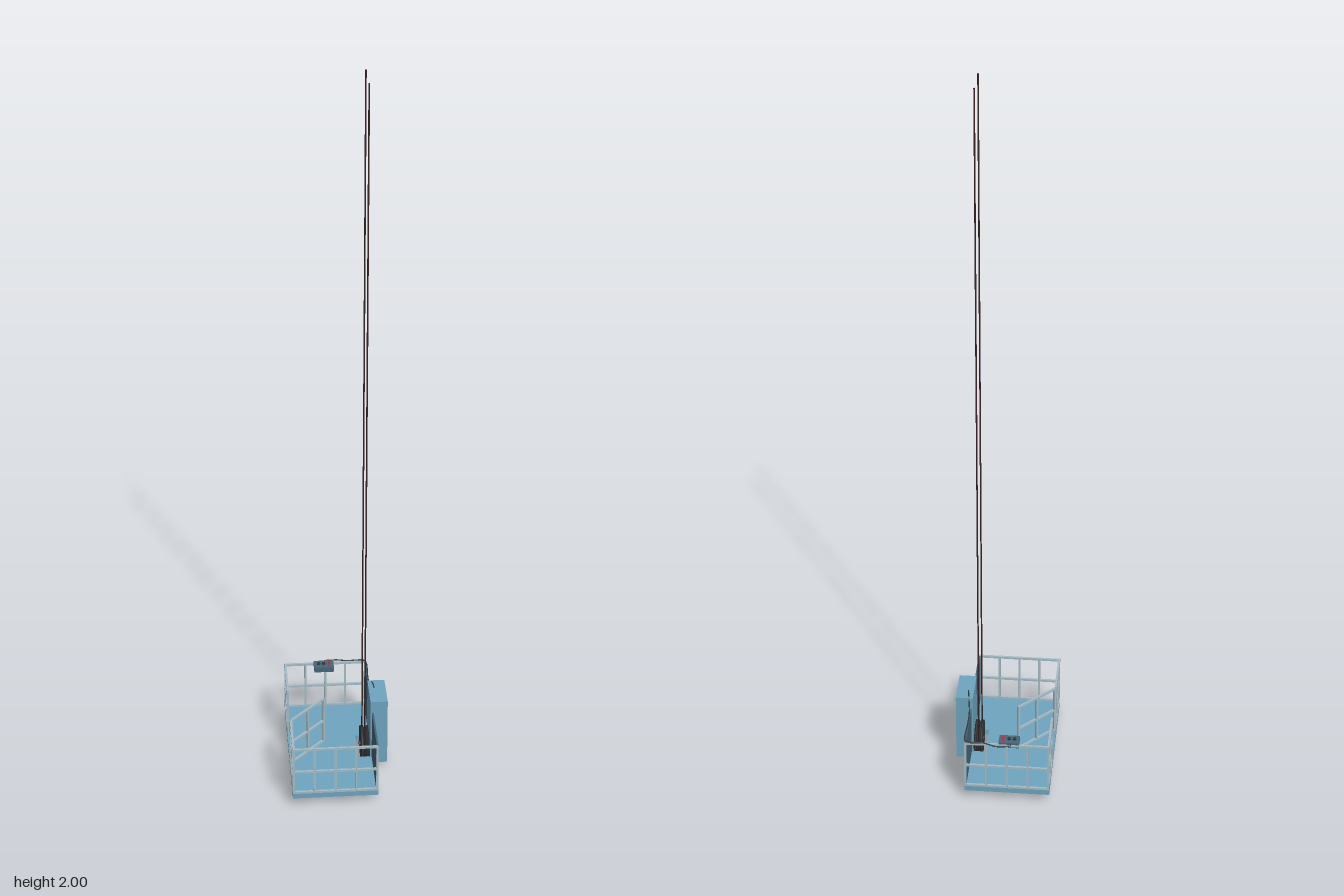
import * as THREE from 'three';

const mat = (color) => new THREE.MeshStandardMaterial({ color });

export function createModel() {
  const root = new THREE.Group();
  const blue = mat(0x6fa5c0), darkBlue = mat(0x48677a), railMat = mat(0xa5bcc6);
  const dark = mat(0x35393d), red = mat(0xc03048), rope = mat(0x3a2424), grey = mat(0x777777);

  const add = (parent, name, geo, m, x = 0, y = 0, z = 0) => {
    const mesh = new THREE.Mesh(geo, m);
    mesh.name = name;
    mesh.position.set(x, y, z);
    parent.add(mesh);
    return mesh;
  };
  // box given by its min and max corners
  const box = (parent, name, m, x0, x1, y0, y1, z0, z1) =>
    add(parent, name, new THREE.BoxGeometry(x1 - x0, y1 - y0, z1 - z0), m,
      (x0 + x1) / 2, (y0 + y1) / 2, (z0 + z1) / 2);

  const L = -0.135, R = 0.096, B = -0.201, F = 0.208;
  const FLOOR0 = 0.027, FLOOR = 0.042, TOP = 0.188, T = 0.006;

  // floor with a slot for the drive wheel
  const floorShape = new THREE.Shape([[L, -F], [R, -F], [R, -B], [L, -B]].map((p) => new THREE.Vector2(...p)));
  floorShape.holes.push(new THREE.Path(
    [[0.053, -0.053], [0.053, 0.046], [0.088, 0.046], [0.088, -0.053]].map((p) => new THREE.Vector2(...p))));
  const floorGeo = new THREE.ExtrudeGeometry(floorShape, { depth: FLOOR - FLOOR0, bevelEnabled: false });
  floorGeo.rotateX(-Math.PI / 2);
  add(root, 'floor', floorGeo, blue, 0, FLOOR0, 0);

  // tapered bumper plate under the floor
  const bumper = new THREE.BoxGeometry(0.168, 0.017, 0.203);
  const bp = bumper.attributes.position;
  for (let i = 0; i < bp.count; i++) {
    if (bp.getY(i) < 0) bp.setXYZ(i, bp.getX(i) * 0.91, bp.getY(i), bp.getZ(i) * 0.93);
  }
  bumper.computeVertexNormals();
  add(root, 'bumperPlate', bumper, grey, -0.044, 0.0195, 0.005);

  // railing from one ground point to another: rails plus evenly spaced posts
  const railing = (name, x0, z0, x1, z1, gaps) => {
    const g = new THREE.Group();
    g.name = name;
    const len = Math.hypot(x1 - x0, z1 - z0);
    for (const y of [FLOOR + T / 2, 0.112, TOP - T / 2]) {
      add(g, 'rail', new THREE.BoxGeometry(len + T, T, T), railMat, len / 2, y, 0);
    }
    for (let i = 0; i <= gaps; i++) {
      add(g, 'post', new THREE.BoxGeometry(T, TOP - FLOOR, T), railMat, (len * i) / gaps, (TOP + FLOOR) / 2, 0);
    }
    g.position.set(x0, 0, z0);
    g.rotation.y = -Math.atan2(z1 - z0, x1 - x0);
    root.add(g);
  };
  const h = T / 2;
  railing('frontRailing', L + h, F - h, R - h, F - h, 4);
  railing('backRailing', L + h, B + h, R - h, B + h, 4);
  railing('sideRailingFront', L + h, 0.075, L + h, F - h, 2);
  railing('sideRailingBack', L + h, B + h, L + h, -0.07, 2);
  railing('openGate', -0.129, 0.068, -0.037, -0.025, 2);

  // solid wall and the drive housing on it
  box(root, 'sideWall', darkBlue, 0.091, R, FLOOR, TOP, B + 0.001, F - 0.001);
  box(root, 'driveHousing', blue, 0.087, 0.134, 0.022, 0.224, -0.049, 0.055);

  // grooved drive wheel
  const wx = 0.075, wy = 0.051, wz = 0.0045;
  const profile = [[0, -0.011], [0.05, -0.011], [0.05, -0.009]];
  for (const c of [-0.005, 0, 0.005]) {
    profile.push([0.05, c - 0.0022], [0.045, c - 0.001], [0.045, c + 0.001], [0.05, c + 0.0022]);
  }
  profile.push([0.05, 0.011], [0, 0.011]);
  const wheel = new THREE.LatheGeometry(profile.map((p) => new THREE.Vector2(...p)), 40);
  wheel.rotateZ(-Math.PI / 2);
  add(root, 'driveWheel', wheel, dark, wx, wy, wz);
  const axle = new THREE.CylinderGeometry(0.008, 0.008, 0.03, 16);
  axle.rotateZ(Math.PI / 2);
  add(root, 'wheelAxle', axle, dark, wx, wy, wz);

  // suspension ropes, running round the bottom of the wheel
  const r = 0.0465;
  for (const z of [wz - r, wz + r]) {
    add(root, 'suspensionRope', new THREE.CylinderGeometry(0.002, 0.002, 2 - wy, 8), rope, 0.072, 1 + wy / 2, z);
  }
  const loop = new THREE.TorusGeometry(r, 0.002, 8, 32, Math.PI);
  loop.rotateZ(Math.PI);
  loop.rotateY(Math.PI / 2);
  add(root, 'ropeLoop', loop, rope, 0.072, wy, wz);

  // control panel with knobs and buttons
  const panel = new THREE.Group();
  panel.name = 'controlPanel';
  root.add(panel);
  box(panel, 'panelBox', darkBlue, -0.052, 0.003, 0.178, 0.194, -0.199, -0.165);
  for (const x of [-0.039, -0.025]) {
    add(panel, 'knob', new THREE.CylinderGeometry(0.0045, 0.005, 0.005, 16), dark, x, 0.196, -0.182);
  }
  for (const z of [-0.191, -0.182, -0.173]) {
    add(panel, 'button', new THREE.CylinderGeometry(0.0035, 0.0035, 0.003, 12), red, -0.009, 0.195, z);
  }

  // control cable along the rail to the top of the housing
  const cablePath = new THREE.CatmullRomCurve3([
    [-0.033, 0.186, -0.196], [-0.025, 0.188, -0.205], [0.01, 0.188, -0.209], [0.042, 0.19, -0.2],
    [0.085, 0.19, -0.2], [0.094, 0.19, -0.192], [0.094, 0.19, -0.12], [0.095, 0.192, -0.065],
    [0.098, 0.222, -0.045], [0.101, 0.227, -0.025], [0.103, 0.222, -0.011],
  ].map((p) => new THREE.Vector3(...p)));
  add(root, 'controlCable', new THREE.TubeGeometry(cablePath, 80, 0.0017, 8), dark);

  return root;
}
